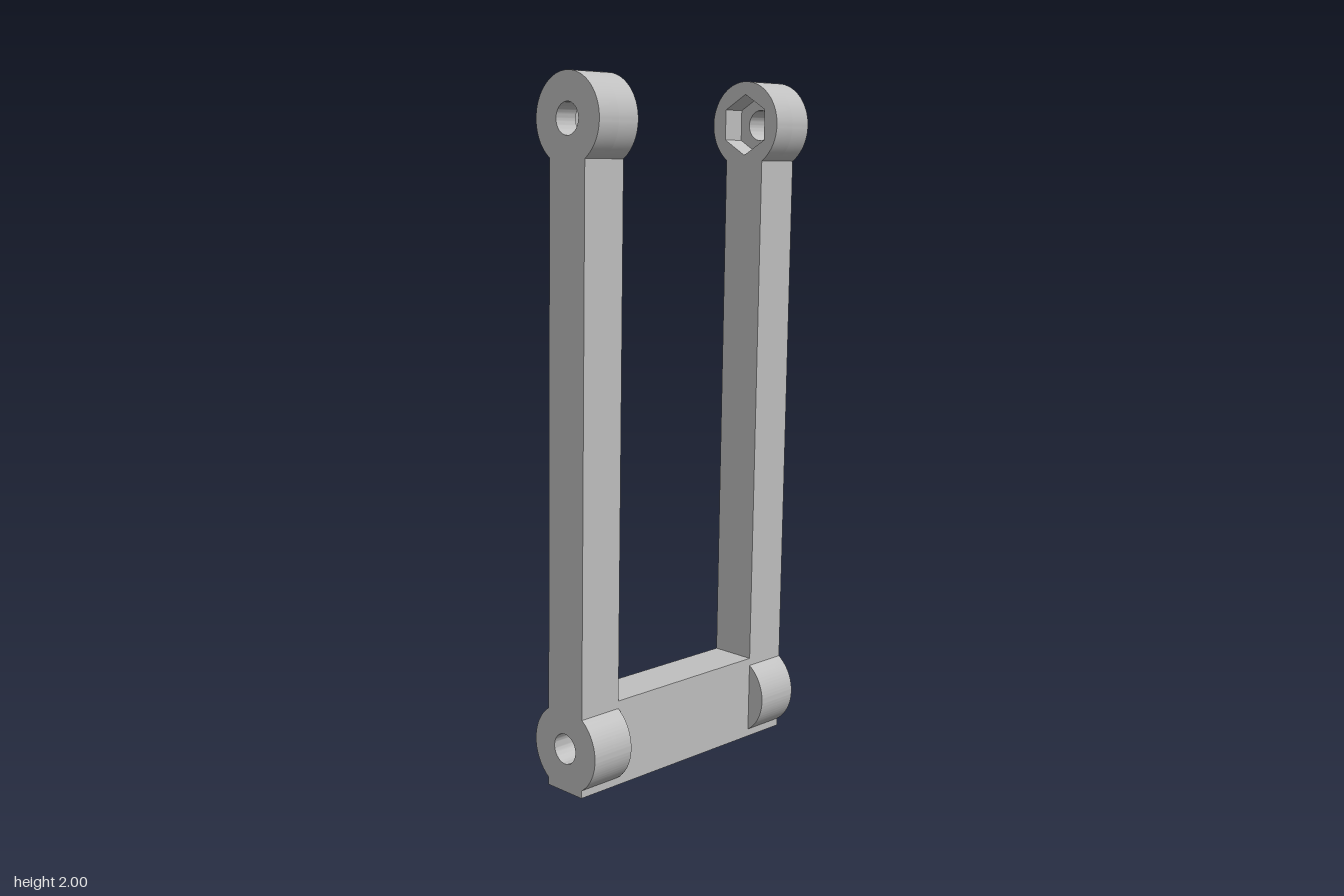
import * as THREE from 'three';
import { toCreasedNormals } from 'three/addons/utils/BufferGeometryUtils.js';

const HALF = 0.07;      // half thickness of the arms and crossbar
const RING = 0.125;     // eyelet radius
const BORE = 0.044;     // bolt hole radius
const NUT = 0.088;      // hexagon pocket circumradius
const LENGTH = 1.7475;  // distance between eyelet centres
const FOOT = 0.126;     // half height of the crossbar
const INNER = 0.28, MIDDLE = 0.35, OUTER = 0.42;

function roundHole(y) {
  return new THREE.Path().absarc(0, y, BORE, 0, Math.PI * 2, true);
}

function hexHole(y) {
  const points = [];
  for (let i = 0; i < 6; i++) {
    const a = Math.PI / 2 - i * Math.PI / 3;
    points.push(new THREE.Vector2(NUT * Math.cos(a), y + NUT * Math.sin(a)));
  }
  return new THREE.Path(points);
}

// Side outline of an arm with an eyelet at each end
function armShape(topHole) {
  const a = Math.asin(HALF / RING);
  const s = new THREE.Shape();
  s.moveTo(-HALF, -FOOT);
  s.lineTo(HALF, -FOOT);
  s.absarc(0, 0, RING, -Math.PI / 2 + a, Math.PI / 2 - a, false);
  s.absarc(0, LENGTH, RING, -Math.PI / 2 + a, 1.5 * Math.PI - a, false);
  s.absarc(0, 0, RING, Math.PI / 2 + a, 1.5 * Math.PI - a, false);
  s.closePath();
  s.holes.push(roundHole(0), topHole);
  return s;
}

// Extrudes a side outline along x, from x0 to x1
function slab(shape, x0, x1, material, name) {
  const raw = new THREE.ExtrudeGeometry(shape, { depth: x1 - x0, bevelEnabled: false, curveSegments: 36 });
  raw.rotateY(Math.PI / 2);
  raw.translate(x0, 0, 0);
  const mesh = new THREE.Mesh(toCreasedNormals(raw, 0.5), material);
  mesh.name = name;
  return mesh;
}

export function createModel() {
  const grey = new THREE.MeshStandardMaterial({ color: 0xbfbfbf });
  grey.name = 'plainGrey';

  const model = new THREE.Group();
  model.name = 'linkFrame';

  // Arms: outer layer has a bolt hole, inner layer a nut pocket at the top
  for (const [side, name] of [[1, 'leftArm'], [-1, 'rightArm']]) {
    const arm = new THREE.Group();
    arm.name = name;
    const layer = (hole, a, b, label) =>
      arm.add(slab(armShape(hole), Math.min(side * a, side * b), Math.max(side * a, side * b), grey, label));
    layer(roundHole(LENGTH), MIDDLE, OUTER, 'boltLayer');
    layer(hexHole(LENGTH), INNER, MIDDLE, 'nutPocketLayer');
    model.add(arm);
  }

  // Crossbar, bored along its whole length
  const bar = new THREE.Shape();
  bar.moveTo(-HALF, -FOOT);
  bar.lineTo(HALF, -FOOT);
  bar.lineTo(HALF, FOOT);
  bar.lineTo(-HALF, FOOT);
  bar.closePath();
  bar.holes.push(roundHole(0));
  model.add(slab(bar, -INNER, INNER, grey, 'crossbar'));

  // Slight forward lean
  model.rotation.x = 0.0212;
  model.position.set(0, 0.1275, -0.0185);

  const root = new THREE.Group();
  root.name = 'frame';
  root.add(model);
  return root;
}
